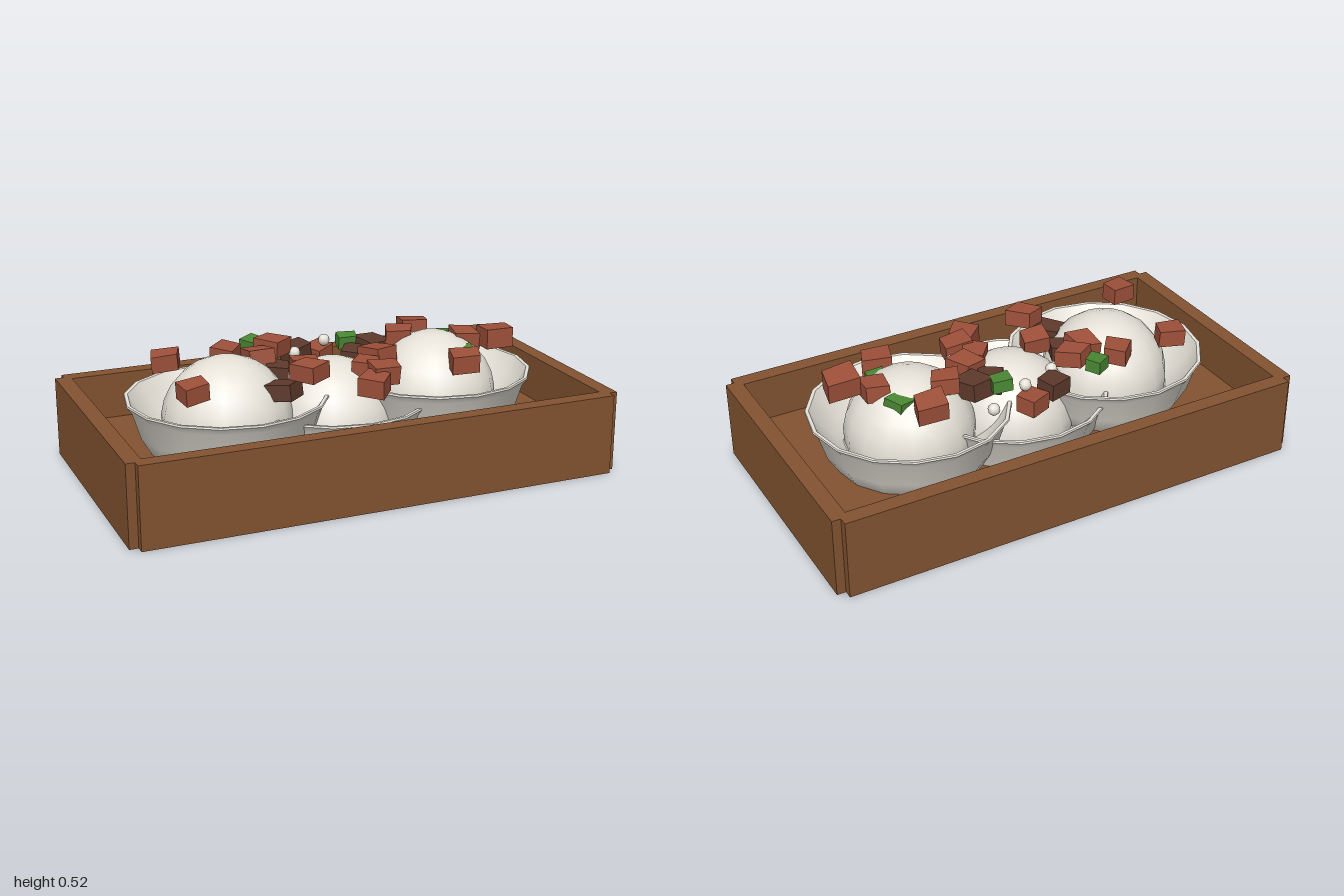
import * as THREE from 'three';
import { toCreasedNormals } from 'three/addons/utils/BufferGeometryUtils.js';

const paint = (name, color) => {
  const m = new THREE.MeshStandardMaterial({ color });
  m.name = name;
  return m;
};

export function createModel() {
  const wood = paint('wood', 0x825330);
  const cream = paint('cream white', 0xe6e2d8);
  const redBrown = paint('red brown', 0x9e503a);
  const darkBrown = paint('dark brown', 0x5e3a2c);
  const green = paint('leaf green', 0x4a8834);
  const model = new THREE.Group();
  model.name = 'dessertTray';

  const add = (name, geometry, material, x, y, z) => {
    const mesh = new THREE.Mesh(geometry, material);
    mesh.name = name;
    mesh.position.set(x, y, z);
    model.add(mesh);
    return mesh;
  };

  // Wooden tray: floor and four walls with notched corners
  const H = 0.325;
  add('trayFloor', new THREE.BoxGeometry(1.9, 0.138, 1.02), wood, 0, 0.069, 0);
  for (const s of [1, -1]) {
    add(s > 0 ? 'frontWall' : 'backWall', new THREE.BoxGeometry(1.93, H, 0.064), wood, 0, H / 2, s * 0.523);
    add(s > 0 ? 'leftWall' : 'rightWall', new THREE.BoxGeometry(0.064, H, 1.04), wood, s * 0.968, H / 2, 0);
  }

  // Three overlapping bowls, each holding a domed scoop; the middle one sits lower
  const profile = [
    [0, 0.08], [0.25, 0.08], [0.3, 0.125], [0.35, 0.21], [0.382, 0.315], [0.402, 0.342],
    [0.4, 0.349], [0.386, 0.348], [0.35, 0.29], [0.3, 0.235], [0.262, 0.2], [0, 0.2],
  ].map(([x, y]) => new THREE.Vector2(x, y));
  const bowl = toCreasedNormals(new THREE.LatheGeometry(profile, 16), 0.6);
  const scoop = new THREE.SphereGeometry(0.26, 16, 8, 0, Math.PI * 2, 0, Math.PI * 0.625);
  for (const [side, x, drop] of [['right', -0.445, 0], ['middle', 0, 0.058], ['left', 0.445, 0]]) {
    add(side + 'Bowl', bowl, cream, x, -drop, 0);
    add(side + 'Scoop', scoop, cream, x, 0.24 - drop, 0);
  }

  // Broken chunk: a lopsided four-sided prism lying flat
  const outline = [[-0.08, -0.03], [0.02, -0.06], [0.07, 0.015], [-0.03, 0.06]]
    .map(([x, y]) => new THREE.Vector2(x, y));
  const chunk = new THREE.ExtrudeGeometry(new THREE.Shape(outline), { depth: 0.066, bevelEnabled: false });
  chunk.translate(0, 0, -0.033).rotateX(-Math.PI / 2);

  const scatter = (name, material, list) => list.forEach(([x, y, z, turn, size = 1], i) => {
    const mesh = add(name + (i + 1), chunk, material, x, y, z);
    mesh.rotation.set(0.08 * Math.sin(i * 2.3), turn, 0.08 * Math.cos(i * 1.7));
    mesh.scale.setScalar(size);
  });

  // x, y, z, turn, size
  scatter('redChunk', redBrown, [
    [-0.63, 0.455, -0.19, 0.2], [-0.38, 0.45, -0.2, 1.2], [-0.29, 0.455, -0.09, 2.0],
    [-0.2, 0.47, -0.16, 2.7], [-0.65, 0.455, 0.22, 0.6], [-0.14, 0.44, 0.05, 0.3],
    [-0.19, 0.47, 0.21, 2.6], [0.06, 0.405, 0.27, 1.2, 1.1], [0.1, 0.42, 0.1, 1.3],
    [0.14, 0.42, 0.19, 0.4, 1.1], [0.18, 0.44, 0.02, 2.4], [0.05, 0.385, -0.27, 0.9],
    [0.34, 0.47, -0.1, 0.1], [0.46, 0.46, -0.22, 0.3, 1.1], [0.48, 0.435, 0.22, 0.2, 1.1],
    [0.58, 0.46, 0, 1.8], [0.69, 0.475, 0.08, 0.4, 1.2],
  ]);
  scatter('darkChunk', darkBrown, [
    [-0.06, 0.41, -0.24, 0.8], [-0.23, 0.41, -0.02, 1.5, 0.9], [-0.28, 0.39, 0.17, 2.8],
    [0.13, 0.41, -0.09, 1.4], [0.22, 0.43, -0.12, 2.3, 1.1],
  ]);
  scatter('leafPiece', green, [
    [-0.25, 0.46, -0.25, 1.0, 0.75], [0.14, 0.45, -0.18, 0.3, 0.75],
    [0.53, 0.44, -0.11, 2.4, 0.75], [0.53, 0.43, 0.11, 0.4, 0.75],
  ]);

  // Small pale crumbs
  const crumb = new THREE.SphereGeometry(0.025, 8, 6);
  [[-0.1, 0.43, -0.155], [0.06, 0.445, -0.23], [0.2, 0.38, -0.235], [0.19, 0.4, 0.14]]
    .forEach(([x, y, z], i) => add('crumb' + (i + 1), crumb, cream, x, y, z));

  return model;
}
